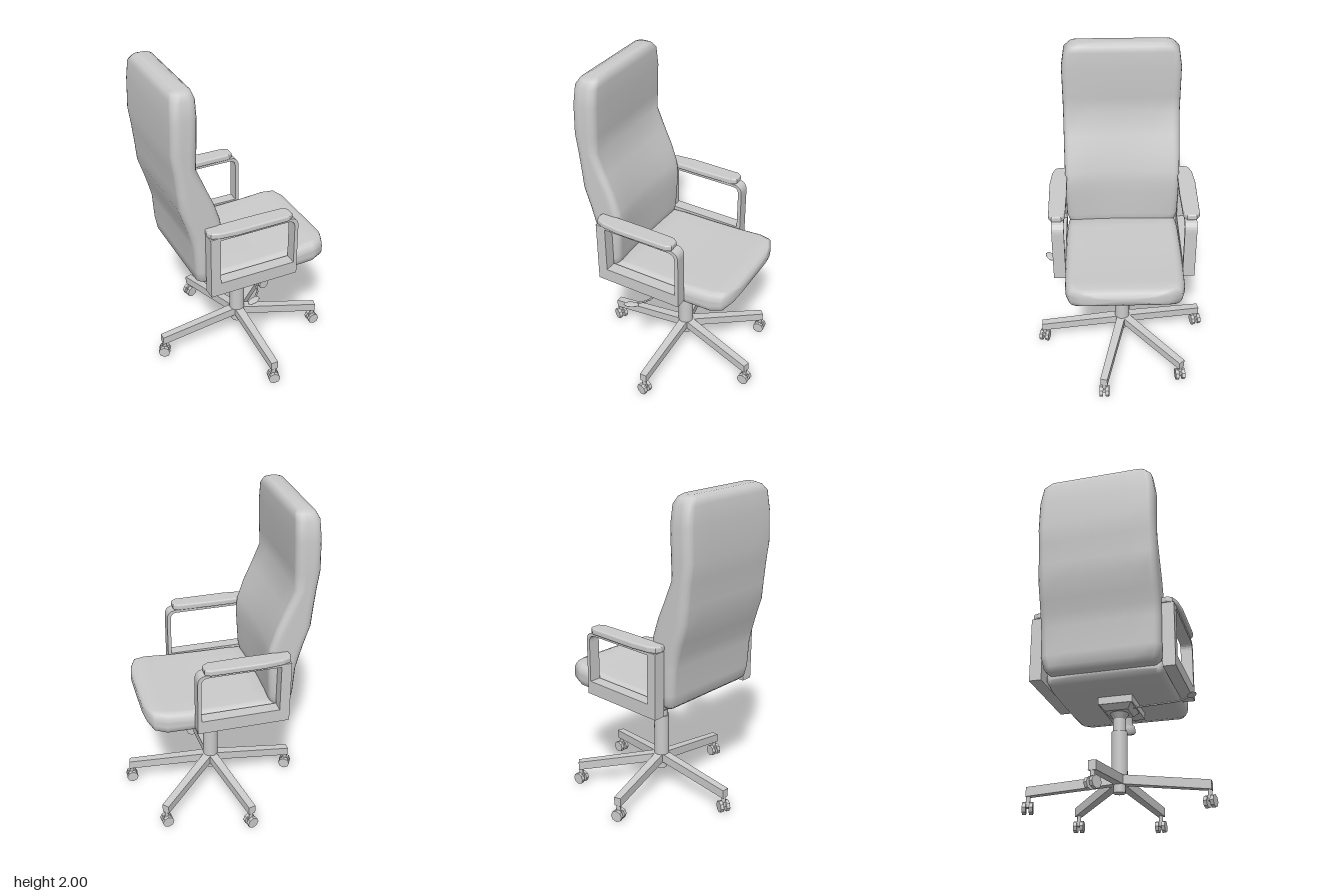
import * as THREE from 'three';

const material = new THREE.MeshStandardMaterial({ color: 0xcccccc });
const lowPoly = new THREE.MeshStandardMaterial({ color: 0xcccccc, flatShading: true });
const MID_Z = -0.008; // the upholstery sits a touch off the column axis

function add(parent, name, geometry, mat = material) {
  const mesh = new THREE.Mesh(geometry, mat);
  mesh.name = name;
  parent.add(mesh);
  return mesh;
}

// Rounded rectangle, counter-clockwise, with extra points along each side
function roundedRing(hu, hv, r) {
  const corners = [[1, 1], [-1, 1], [-1, -1], [1, -1]].map(([su, sv], k) => {
    const arc = [];
    for (let i = 0; i <= 4; i++) {
      const a = (k + i / 4) * Math.PI / 2;
      arc.push([su * (hu - r) + r * Math.cos(a), sv * (hv - r) + r * Math.sin(a)]);
    }
    return arc;
  });
  const ring = [];
  corners.forEach((arc, k) => {
    ring.push(...arc);
    const a = arc[4], b = corners[(k + 1) % 4][0];
    for (let i = 1; i < 6; i++) {
      const t = i / 6;
      ring.push([a[0] + (b[0] - a[0]) * t, a[1] + (b[1] - a[1]) * t]);
    }
  });
  return ring;
}

// Skin over a list of rings of [x, y, z], closed at both ends
function loft(rings) {
  const n = rings[0].length, pos = rings.flat(2), index = [];
  for (let i = 0; i < rings.length - 1; i++) {
    for (let j = 0; j < n; j++) {
      const a = i * n + j, b = i * n + (j + 1) % n;
      index.push(a, b, b + n, a, b + n, a + n);
    }
  }
  [0, rings.length - 1].forEach((row, end) => {
    const c = pos.length / 3, mid = [0, 0, 0];
    rings[row].forEach(p => p.forEach((v, k) => { mid[k] += v / n; }));
    pos.push(...mid);
    for (let j = 0; j < n; j++) {
      const a = row * n + j, b = row * n + (j + 1) % n;
      if (end) index.push(c, a, b); else index.push(c, b, a);
    }
  });
  const g = new THREE.BufferGeometry();
  g.setAttribute('position', new THREE.Float32BufferAttribute(pos, 3));
  g.setIndex(index);
  g.computeVertexNormals();
  return g;
}

// Backrest: sections of height, rear x, front x, half width, hollow of the front
function backrest() {
  const sections = [
    [0.755, -0.38, -0.31, 0.32, 0], [0.78, -0.41, -0.28, 0.345, 0.01],
    [0.85, -0.42, -0.265, 0.36, 0.02], [1.02, -0.43, -0.252, 0.362, 0.03],
    [1.1, -0.45, -0.247, 0.362, 0.035], [1.18, -0.472, -0.255, 0.362, 0.035],
    [1.3, -0.51, -0.295, 0.362, 0.03], [1.4, -0.518, -0.34, 0.362, 0.02],
    [1.54, -0.532, -0.398, 0.362, 0.01], [1.65, -0.547, -0.394, 0.362, 0],
    [1.84, -0.54, -0.387, 0.362, 0], [1.95, -0.532, -0.387, 0.345, 0],
    [1.985, -0.515, -0.395, 0.315, 0], [2, -0.485, -0.415, 0.28, 0],
  ];
  return loft(sections.map(([y, x0, x1, hz, dip]) => {
    const hx = (x1 - x0) / 2;
    return roundedRing(hz, hx, Math.min(0.045, hx * 0.8)).map(([z, x]) => {
      const hollow = x > 0 ? dip * (1 - (z / hz) ** 2) : 0;
      return [(x0 + x1) / 2 + x - hollow, y, z + MID_Z];
    });
  }));
}

// Seat: sections of x, underside, top, half width
function seat() {
  const sections = [
    [-0.32, 0.735, 0.785, 0.33], [-0.295, 0.708, 0.808, 0.352],
    [-0.2, 0.692, 0.814, 0.36], [0, 0.687, 0.814, 0.363],
    [0.2, 0.685, 0.82, 0.363], [0.36, 0.687, 0.833, 0.36],
    [0.43, 0.703, 0.836, 0.34], [0.462, 0.73, 0.825, 0.27],
    [0.478, 0.755, 0.805, 0.19],
  ];
  return loft(sections.map(([x, y0, y1, hz]) => {
    const hy = (y1 - y0) / 2;
    return roundedRing(hy, hz, Math.min(0.05, hy * 0.8))
      .map(([y, z]) => [x, (y0 + y1) / 2 + y, z + MID_Z]);
  }));
}

// Rectangle whose front top corner is rounded
function framePath(path, x0, y0, x1, y1, r) {
  path.moveTo(x0, y0);
  path.lineTo(x1, y0);
  path.lineTo(x1, y1 - r);
  path.quadraticCurveTo(x1, y1, x1 - r, y1);
  path.lineTo(x0, y1);
  path.closePath();
  return path;
}

function armrest(side) {
  const arm = new THREE.Group();
  arm.name = side > 0 ? 'rightArmrest' : 'leftArmrest';
  // Open frame
  const shape = framePath(new THREE.Shape(), -0.368, 0.722, 0.196, 1.122, 0.06);
  shape.holes.push(framePath(new THREE.Path(), -0.306, 0.805, 0.173, 1.104, 0.045));
  const frame = new THREE.ExtrudeGeometry(shape, { depth: 0.074, bevelEnabled: false, curveSegments: 6 });
  frame.translate(0, 0, MID_Z + side * 0.398 - 0.037);
  add(arm, 'armFrame', frame);
  // Pad, bowed outwards
  const outline = [[-0.36, 0.36], [-0.1, 0.357], [0.12, 0.362], [0.145, 0.38],
    [0.145, 0.428], [0.12, 0.444], [-0.2, 0.447], [-0.31, 0.436], [-0.355, 0.418], [-0.366, 0.39]];
  const padShape = new THREE.Shape(outline.map(([x, z]) => new THREE.Vector2(x, side * z)));
  const pad = new THREE.ExtrudeGeometry(padShape, {
    depth: 0.018, bevelThickness: 0.01, bevelSize: 0.009, bevelSegments: 3,
  });
  pad.rotateX(Math.PI / 2).translate(0, 1.15, MID_Z);
  add(arm, 'armPad', pad);
  return arm;
}

function cylinder(rTop, rBottom, y0, y1, sides = 20) {
  return new THREE.CylinderGeometry(rTop, rBottom, y1 - y0, sides).translate(0, (y0 + y1) / 2, 0);
}

// One sloping leg with its twin-wheel castor
function leg(angle) {
  const g = new THREE.Group();
  g.name = 'leg';
  const beam = new THREE.BoxGeometry(0.54, 0.055, 0.05).translate(0.27, 0, 0);
  const p = beam.attributes.position;
  for (let i = 0; i < p.count; i++) {
    const t = p.getX(i) / 0.54;
    p.setY(i, p.getY(i) + 0.2 - 0.072 * t);
    p.setZ(i, p.getZ(i) * (1.1 - 0.2 * t));
  }
  beam.computeVertexNormals();
  add(g, 'legBeam', beam);
  g.rotation.y = -angle;

  const castor = new THREE.Group();
  castor.name = 'castor';
  castor.position.x = 0.527;
  castor.rotation.y = angle * 0.85; // wheels trail roughly the same way
  add(castor, 'castorStem', cylinder(0.013, 0.013, 0.04, 0.11, 8));
  add(castor, 'castorHousing', new THREE.BoxGeometry(0.035, 0.03, 0.03).translate(0, 0.053, 0), lowPoly);
  for (const s of [-1, 1]) {
    const wheel = new THREE.CylinderGeometry(0.037, 0.037, 0.022, 8).rotateX(Math.PI / 2);
    add(castor, 'castorWheel', wheel.translate(0, 0.036, s * 0.02), lowPoly);
  }
  g.add(castor);
  return g;
}

export function createModel() {
  const chair = new THREE.Group();
  chair.name = 'officeChair';
  add(chair, 'backrest', backrest());
  add(chair, 'seat', seat());
  for (const side of [1, -1]) chair.add(armrest(side));

  // Star base and gas column
  const base = new THREE.Group();
  base.name = 'base';
  base.position.x = 0.004;
  for (const deg of [90, 14, -44, -104, 180]) base.add(leg(deg * Math.PI / 180));
  add(base, 'hub', cylinder(0.036, 0.036, 0.12, 0.228));
  add(base, 'outerColumn', cylinder(0.048, 0.048, 0.22, 0.492));
  add(base, 'innerColumn', cylinder(0.04, 0.04, 0.49, 0.57));
  add(base, 'columnCollar', cylinder(0.06, 0.034, 0.568, 0.612));
  chair.add(base);

  // Tilt mechanism under the seat
  const tilt = new THREE.Group();
  tilt.name = 'tiltMechanism';
  add(tilt, 'mountPlate', new THREE.BoxGeometry(0.32, 0.045, 0.21).translate(0.06, 0.664, 0));
  const block = new THREE.CylinderGeometry(0.14, 0.1, 0.035, 4, 1).rotateY(Math.PI / 4);
  add(tilt, 'taperedBlock', block.translate(0, 0.625, 0), lowPoly);
  const knob = new THREE.LatheGeometry([[0, -0.06], [0.04, -0.06], [0.051, -0.048], [0.049, -0.01],
    [0.036, 0], [0.036, 0.08]].map(q => new THREE.Vector2(...q)), 16);
  add(tilt, 'tensionKnob', knob.rotateZ(0.28).translate(0.178, 0.598, 0));
  const path = new THREE.CatmullRomCurve3([[0, 0], [-0.03, 0.3], [-0.045, 0.385], [-0.09, 0.44]]
    .map(([x, z]) => new THREE.Vector3(x, 0.638, z)));
  add(tilt, 'leverRod', new THREE.TubeGeometry(path, 16, 0.006, 6));
  const paddle = new THREE.SphereGeometry(1, 12, 8).scale(0.048, 0.007, 0.025);
  add(tilt, 'leverPaddle', paddle.rotateY(0.45).translate(-0.112, 0.638, 0.465));
  chair.add(tilt);
  return chair;
}
